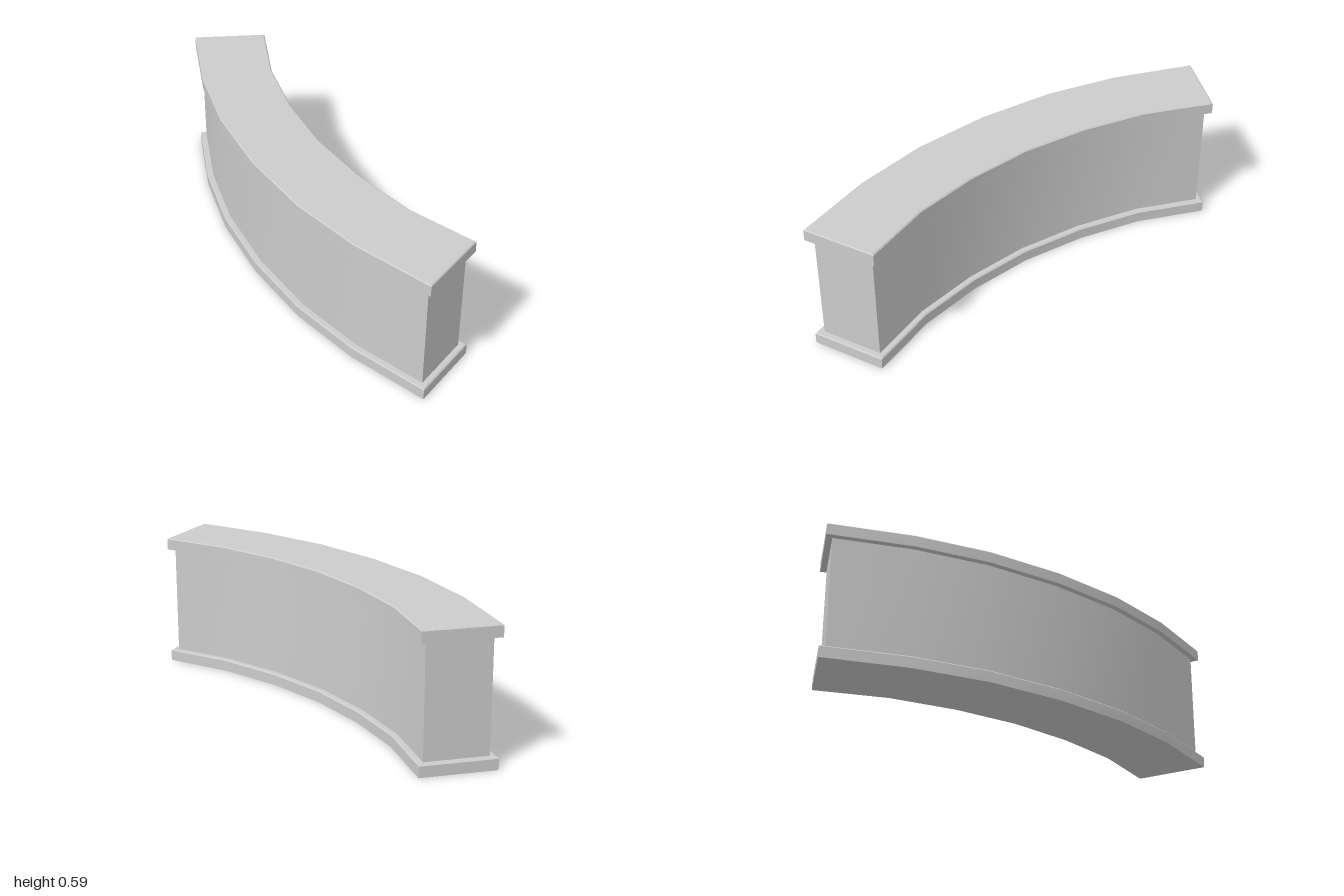
import * as THREE from 'three';
import { toCreasedNormals } from 'three/addons/utils/BufferGeometryUtils.js';

// Half of each curved edge as [x, z], from the middle to the end
const outerHalf = [[-0.256, 0], [-0.233, 0.34], [-0.162, 0.66], [-0.036, 1]];
const innerHalf = [[0.058, 0], [0.08, 0.29], [0.14, 0.575], [0.256, 0.866]];

// Mirror a half edge into a full edge running from -z to +z
const fullEdge = (half) => [
  ...half.slice(1).reverse().map(([x, z]) => [x, -z]),
  ...half,
];

const outline = [...fullEdge(outerHalf), ...fullEdge(innerHalf).reverse()];
const count = outline.length;

// Outline moved inwards by a constant distance with mitred corners
function insetOutline(distance) {
  const normals = outline.map(([x, z], i) => {
    const [nx, nz] = outline[(i + 1) % count];
    return new THREE.Vector2(nz - z, x - nx).normalize();
  });
  return outline.map(([x, z], i) => {
    const a = normals[(i + count - 1) % count];
    const b = normals[i];
    const k = distance / (1 + a.dot(b));
    return [x + (a.x + b.x) * k, z + (a.y + b.y) * k];
  });
}

// Closed solid through stacked outlines; each level is [height, inset]
function stack(name, levels, material) {
  const rings = levels.map(([y, inset]) =>
    insetOutline(inset).map(([x, z]) => [x, y, z]));
  const positions = [];
  const quad = (a, b, c, d) => positions.push(...a, ...b, ...c, ...a, ...c, ...d);

  // Walls
  for (let r = 0; r < rings.length - 1; r++) {
    const low = rings[r];
    const high = rings[r + 1];
    for (let i = 0; i < count; i++) {
      const j = (i + 1) % count;
      quad(low[i], low[j], high[j], high[i]);
    }
  }

  // Flat top and underside, bridged between the two curved edges
  const bottom = rings[0];
  const top = rings[rings.length - 1];
  for (let i = 0; i < count / 2 - 1; i++) {
    const j = count - 1 - i;
    quad(top[i], top[i + 1], top[j - 1], top[j]);
    quad(bottom[j], bottom[j - 1], bottom[i + 1], bottom[i]);
  }

  const geometry = new THREE.BufferGeometry();
  geometry.setAttribute('position', new THREE.Float32BufferAttribute(positions, 3));
  const mesh = new THREE.Mesh(toCreasedNormals(geometry, 0.4), material);
  mesh.name = name;
  return mesh;
}

export function createModel() {
  const group = new THREE.Group();
  group.name = 'curvedWall';
  const material = new THREE.MeshStandardMaterial({ color: 0xcccccc });

  // Base and coping slabs with a small chamfer along the upper edge
  const slab = [[0, 0], [0.047, 0], [0.052, 0.005]];
  const base = stack('baseSlab', slab, material);
  const coping = stack('copingSlab', slab, material);
  coping.position.y = 0.537;

  // Recessed wall between the slabs
  const wall = stack('wall', [[0.05, 0.026], [0.539, 0.026]], material);

  group.add(base, wall, coping);
  return group;
}
